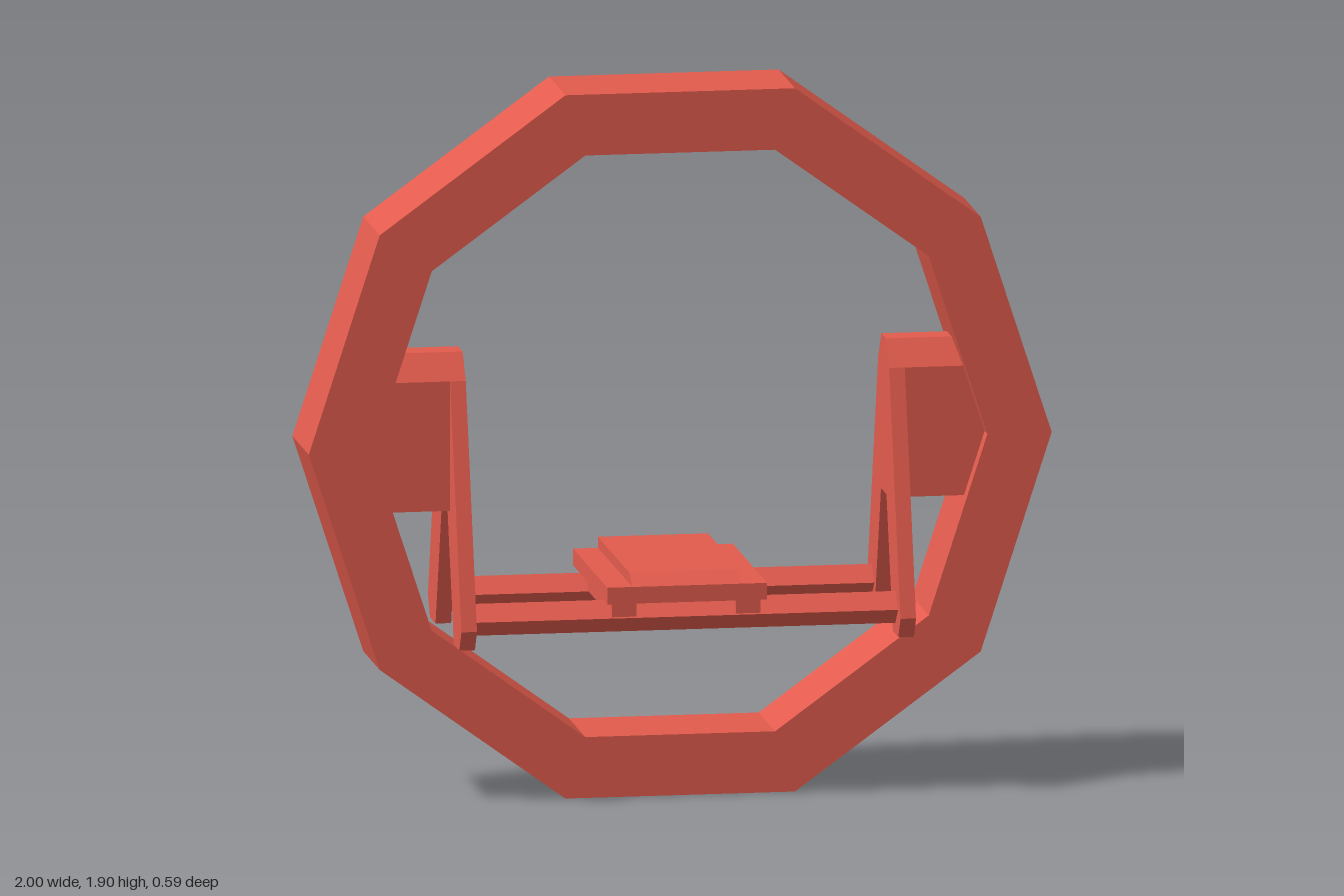
import * as THREE from 'three';

const CZ = 0.018; // middle plane of the wheel

export function createModel() {
  const root = new THREE.Group();
  root.name = 'ringSwing';
  const red = new THREE.MeshStandardMaterial({ color: 0xe25b4d });
  red.name = 'coralRed';

  const add = (name, geometry, x = 0, y = 0, z = 0) => {
    const mesh = new THREE.Mesh(geometry, red);
    mesh.name = name;
    mesh.position.set(x, y, z);
    root.add(mesh);
    return mesh;
  };
  const extrude = (shape, depth) =>
    new THREE.ExtrudeGeometry(shape, { depth, bevelEnabled: false });
  const polygon = (pts) => new THREE.Shape(pts.map(([x, y]) => new THREE.Vector2(x, y)));
  const decagon = (r) => Array.from({ length: 10 }, (_, i) => {
    const a = (i * Math.PI) / 5;
    return [r * Math.cos(a), r * Math.sin(a)];
  });
  // Turns a (z, y) profile into a slab running from x0 to x1
  const slabAlongX = (pts, x0, x1) => {
    const g = extrude(polygon(pts.map(([z, y]) => [-z, y])), x1 - x0);
    g.rotateY(Math.PI / 2);
    g.translate(x0, 0, 0);
    return g;
  };
  const mirrored = (half) => [...half, ...half.map(([z, y]) => [-z, y]).reverse()];

  // Ten-sided wheel
  const ring = polygon(decagon(1));
  ring.holes.push(polygon(decagon(0.827)));
  add('ring', extrude(ring, 0.27), 0, 0.952, CZ - 0.135);

  // Forked side frames and the hubs joining them to the wheel
  const fork = mirrored([
    [0.038, 1.2], [0.09, 1.13], [0.275, 0.486], [0.24, 0.43], [0.15, 0.43], [0.045, 0.78],
  ]);
  const hub = mirrored([[0.038, 1.2], [0.09, 1.13], [0.09, 0.78]]);
  for (const [side, s] of [['left', 1], ['right', -1]]) {
    const span = (a, b) => (s > 0 ? [a, b] : [-b, -a]);
    add(side + 'Frame', slabAlongX(fork, ...span(0.57, 0.612)), 0, 0, CZ);
    add(side + 'Hub', slabAlongX(hub, ...span(0.61, 0.85)), 0, 0, CZ);
  }

  // Square cross bars standing on edge
  for (const [name, z] of [['frontBar', 0.195], ['backBar', -0.195]]) {
    const bar = add(name, new THREE.BoxGeometry(1.15, 0.061, 0.061), 0, 0.503, CZ + z - 0.003);
    bar.rotation.x = Math.PI / 4;
  }

  // Seat: two runners, a slab, and a raised pad with a sloped front
  for (const [name, x] of [['leftRunner', 0.167], ['rightRunner', -0.167]]) {
    add(name, new THREE.BoxGeometry(0.066, 0.042, 0.49), x, 0.525, 0.005);
  }
  add('seatSlab', new THREE.BoxGeometry(0.43, 0.045, 0.563), 0, 0.5675, -0.0125);
  add('seatPad', slabAlongX(
    [[0.269, 0.589], [0.222, 0.62], [-0.294, 0.62], [-0.294, 0.589]], -0.148, 0.148));

  return root;
}
